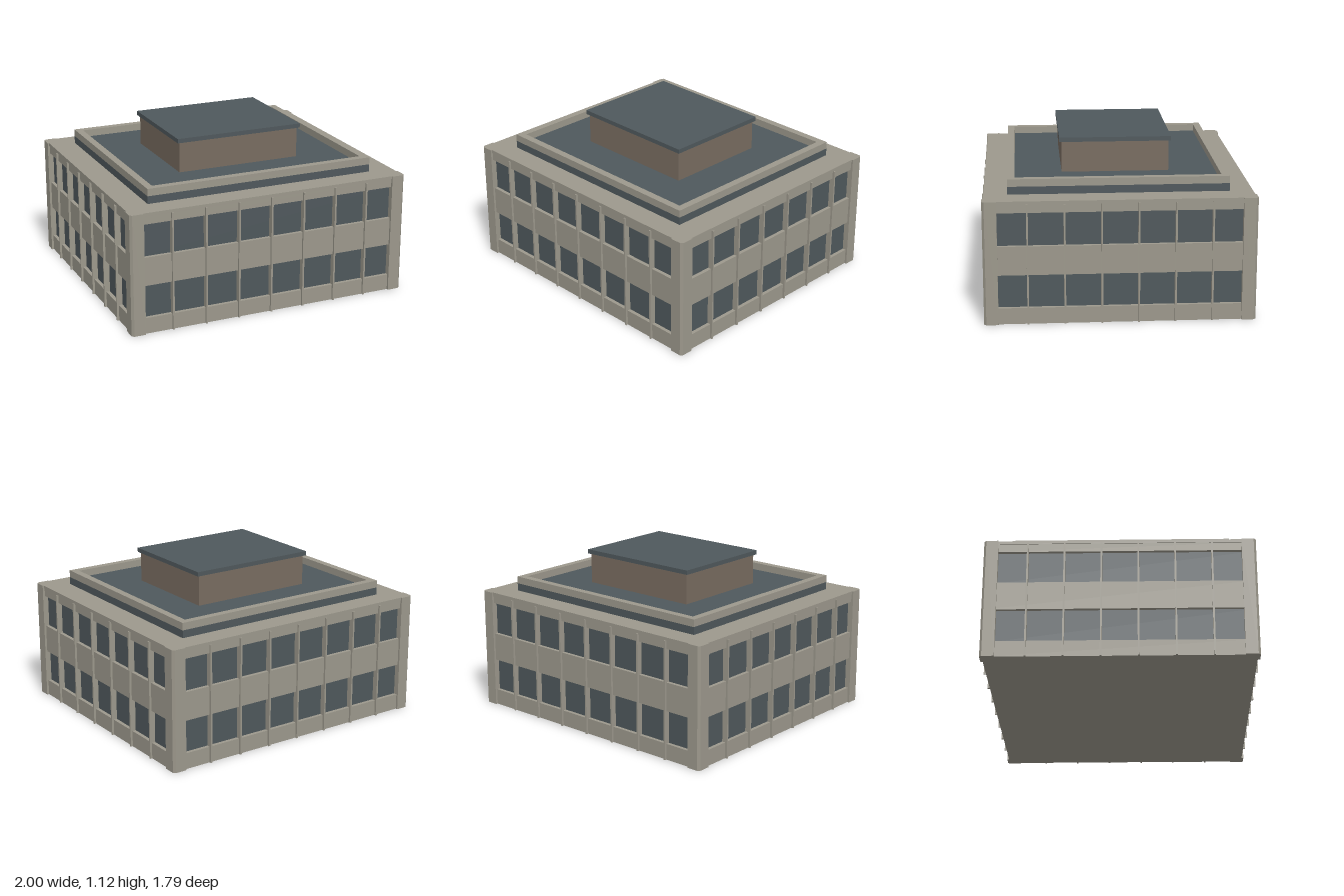
import * as THREE from 'three';

export function createModel() {
  const model = new THREE.Group();
  model.name = 'officeBuilding';

  const mat = (name, color) => {
    const m = new THREE.MeshStandardMaterial({ color });
    m.name = name;
    return m;
  };
  const concrete = mat('concrete', 0x9c988c);
  const glass = mat('darkGlass', 0x4f585c);
  const brown = mat('brownCladding', 0x786c60);

  const add = (name, geo, material, parent = model) => {
    const mesh = new THREE.Mesh(geo, material);
    mesh.name = name;
    parent.add(mesh);
    return mesh;
  };

  // Box centred on the y axis, from half sizes and a bottom and top height
  const block = (name, hx, hz, y0, y1, material) => {
    const mesh = add(name, new THREE.BoxGeometry(hx * 2, y1 - y0, hz * 2), material);
    mesh.position.y = (y0 + y1) / 2;
    return mesh;
  };

  // Outline drawn in x/z, extruded upward from y0 to y1
  const extrudeUp = (shape, y0, y1) =>
    new THREE.ExtrudeGeometry(shape, { depth: y1 - y0, bevelEnabled: false })
      .rotateX(-Math.PI / 2)
      .translate(0, y0, 0);

  const rectPoints = (hx, hz) => [
    new THREE.Vector2(-hx, -hz), new THREE.Vector2(hx, -hz),
    new THREE.Vector2(hx, hz), new THREE.Vector2(-hx, hz),
  ];

  const ROOF = 0.833;

  // Solid floor bands with recessed window strips between them
  [[0, 0.11], [0.335, 0.53], [0.755, 0.812]].forEach(([a, b]) =>
    block('wallBand', 0.985, 0.88, a, b, concrete));
  [[0.11, 0.335], [0.53, 0.755]].forEach(([a, b]) =>
    block('windowStrip', 0.96, 0.855, a, b, glass));
  block('roofSlab', 0.99, 0.885, 0.812, ROOF, concrete);

  // Chamfered corner piers
  const piers = new THREE.Group();
  piers.name = 'cornerPiers';
  model.add(piers);
  const X = 1, Z = 0.895, W = 0.095, C = 0.015;
  for (const sx of [-1, 1]) {
    for (const sz of [-1, 1]) {
      const outline = [
        [X - W, Z - W], [X, Z - W], [X, Z - C], [X - C, Z], [X - W, Z],
      ].map(([x, z]) => new THREE.Vector2(x * sx, z * sz));
      add('cornerPier', extrudeUp(new THREE.Shape(outline), 0, ROOF), concrete, piers);
    }
  }

  // Slim vertical mullions on all four sides
  const mullions = new THREE.Group();
  mullions.name = 'mullions';
  model.add(mullions);
  const T = 0.012, D = 0.045, H = 0.812;
  for (const s of [-1, 1]) {
    for (let i = -3; i <= 3; i++) {
      add('mullion', new THREE.BoxGeometry(T, H, D), concrete, mullions)
        .position.set(i * 0.236, H / 2, s * (Z - D / 2));
    }
    for (let i = -2.5; i <= 2.5; i++) {
      add('sideMullion', new THREE.BoxGeometry(D, H, T), concrete, mullions)
        .position.set(s * (X - D / 2), H / 2, i * 0.242);
    }
  }

  // Upper storey: dark base and deck, with a parapet ring
  block('roofDeck', 0.815, 0.73, ROOF, 0.885, glass);
  const ring = new THREE.Shape(rectPoints(0.815, 0.73));
  ring.holes.push(new THREE.Path(rectPoints(0.765, 0.68).reverse()));
  add('parapet', extrudeUp(ring, 0.885, 0.935), concrete);

  // Rooftop plant room
  block('plantRoom', 0.44, 0.363, 0.885, 1.095, brown);
  block('plantRoomRoof', 0.457, 0.378, 1.095, 1.125, glass);

  return model;
}
